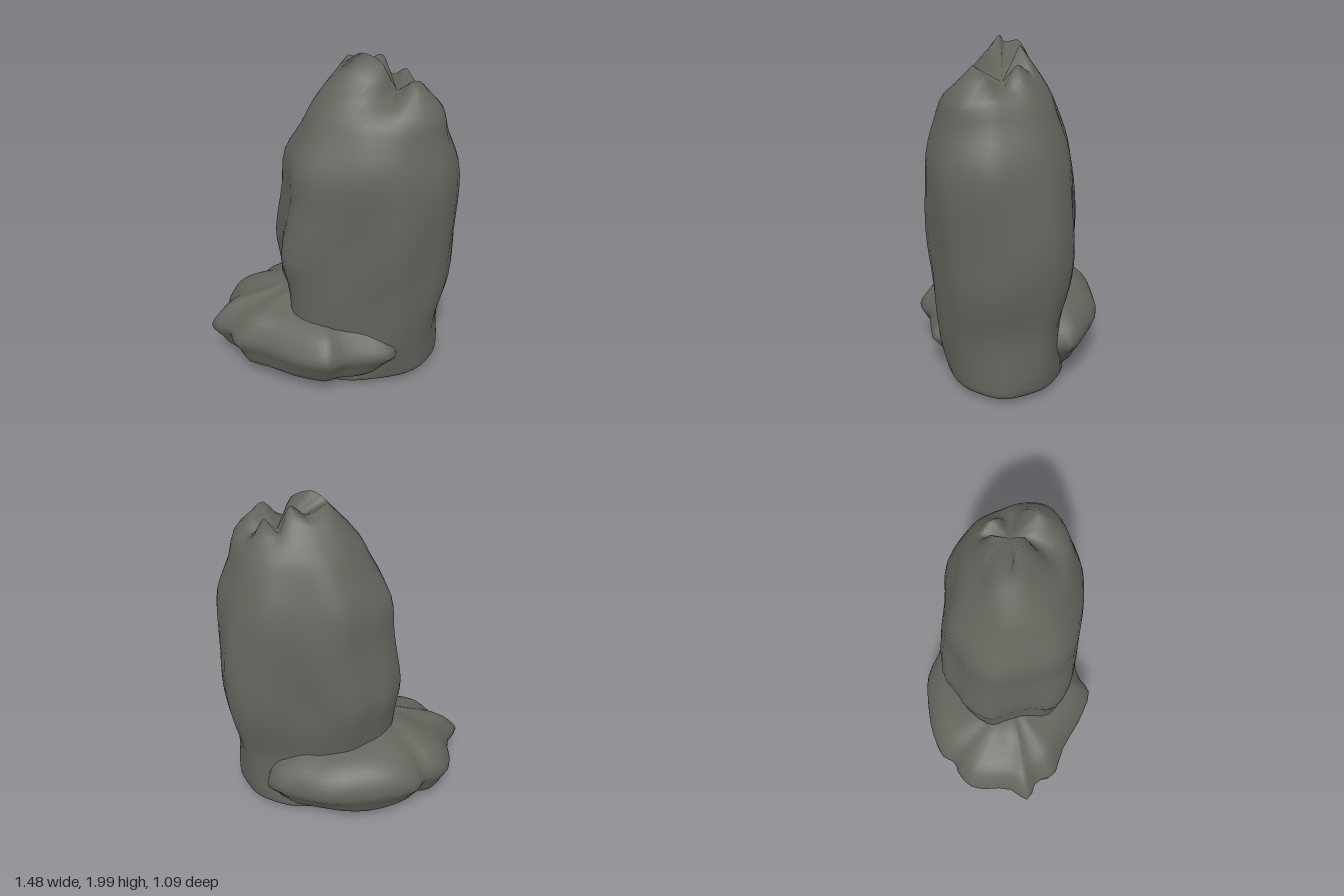
import * as THREE from 'three';

const stone = new THREE.MeshStandardMaterial({ color: 0x62655c });
stone.name = 'greyStone';

const V = (x, y, z) => new THREE.Vector3(x, y, z);
const { lerp, mapLinear } = THREE.MathUtils;

// Closed smooth ring through a few control points, sampled n times.
function ring(points, n) {
  const curve = new THREE.CatmullRomCurve3(points, true, 'centripetal');
  return Array.from({ length: n }, (_, i) => curve.getPoint(i / n));
}

// Smooth irregularities of the weathered surface.
function weather(p, amount) {
  const { x, y, z } = p;
  p.x += amount * Math.sin(13 * z + 4 * y + 1) * Math.cos(5 * y - 3 * z);
  p.z += amount * Math.sin(14 * x - 3 * y) * Math.cos(6 * y + 2 * x);
  p.y += amount * 0.5 * Math.sin(11 * x + 2) * Math.sin(12 * z + 1);
  return p;
}

// Skin a stack of rings, smoothed vertically, and close it with two poles.
function loft(rings, bottom, top, rows, amount) {
  const n = rings[0].length;
  const pos = [], index = [];
  const columns = rings[0].map((_, i) =>
    new THREE.CatmullRomCurve3(rings.map((r) => r[i]), false, 'centripetal'));
  for (let j = 0; j <= rows; j++) {
    for (const c of columns) pos.push(...weather(c.getPoint(j / rows), amount).toArray());
  }
  const b = n * (rows + 1), t = b + 1;
  pos.push(...bottom.toArray(), ...top.toArray());
  for (let i = 0; i < n; i++) {
    const k = (i + 1) % n;
    for (let j = 0; j < rows; j++) {
      const a = j * n + i, d = j * n + k;
      index.push(a, a + n, d, d, a + n, d + n);
    }
    index.push(b, i, k, t, rows * n + k, rows * n + i);
  }
  const g = new THREE.BufferGeometry();
  g.setAttribute('position', new THREE.Float32BufferAttribute(pos, 3));
  g.setIndex(index);
  g.computeVertexNormals();
  return g;
}

// Tall standing stone: one plan outline fitted to the extents of each level.
function pillarGeometry() {
  const n = 48;
  const outline = [
    [-0.31, -0.05], [-0.33, -0.14], [-0.25, -0.27], [-0.16, -0.33], [-0.04, -0.41],
    [0.12, -0.4], [0.26, -0.36], [0.44, -0.38], [0.6, -0.33], [0.69, -0.25],
    [0.74, -0.04], [0.73, 0.08], [0.67, 0.27], [0.55, 0.36], [0.38, 0.44],
    [0.22, 0.42], [0.05, 0.4], [-0.14, 0.37], [-0.27, 0.27], [-0.28, 0.12],
  ];
  // y, extents x min, x max, z min, z max, rounding to an ellipse, bulge of the front left corner
  const levels = [
    [0.015, -0.12, 0.5, -0.22, 0.22, 0.9, 0],
    [0.045, -0.27, 0.65, -0.34, 0.35, 0.9, 0],
    [0.09, -0.285, 0.67, -0.35, 0.365, 0.7, 0],
    [0.4, -0.28, 0.67, -0.345, 0.4, 0.2, 0],
    [0.65, -0.3, 0.72, -0.39, 0.42, 0.1, 0],
    [0.85, -0.33, 0.735, -0.405, 0.435, 0, 0],
    [1.18, -0.285, 0.735, -0.39, 0.44, 0.5, 0.1],
    [1.4, -0.27, 0.71, -0.36, 0.43, 0.6, 0.15],
    [1.58, -0.17, 0.64, -0.3, 0.37, 0.75, 0.2],
    [1.72, -0.09, 0.59, -0.235, 0.3, 0.85, 0.3],
  ];
  const rings = levels.map(([y, x0, x1, z0, z1, round, bulge]) => ring(outline.map(([x, z]) => {
    const u = mapLinear(x, -0.33, 0.74, -1, 1), v = mapLinear(z, -0.41, 0.44, -1, 1);
    const a = Math.atan2(v, u), c = Math.cos(a), s = Math.sin(a);
    const r = 1 + 2 * bulge * Math.max(c, 0) * Math.max(s, 0);
    return V(
      mapLinear(lerp(u, c * r, round), -1, 1, x0, x1), y,
      mapLinear(lerp(v, s * r, round), -1, 1, z0, z1));
  }), n));
  // Jagged crown around a sunken centre
  const crown = [
    [0.1, 1.95, 0.0], [0.11, 1.96, -0.07], [0.21, 1.92, -0.1], [0.3, 1.96, -0.06],
    [0.36, 1.83, -0.12], [0.44, 1.88, -0.06], [0.49, 1.76, 0.02], [0.5, 1.84, 0.1],
    [0.43, 1.88, 0.17], [0.34, 1.79, 0.13], [0.28, 1.95, 0.09], [0.17, 2.0, 0.03],
  ];
  rings.push(ring(crown.map((p) => V(...p)), n));
  return loft(rings, V(0.22, 0.005, 0), V(0.37, 1.78, 0.02), 30, 0.01);
}

// Low boulder wrapped around the foot of the pillar.
function boulderGeometry() {
  const outline = [
    [-0.74, 0.07], [-0.66, -0.05], [-0.65, -0.27], [-0.57, -0.34], [-0.48, -0.37],
    [-0.42, -0.45], [-0.3, -0.51], [-0.13, -0.54], [0.08, -0.55], [0.26, -0.49],
    [0.48, -0.38], [0.4, 0], [0.38, 0.39], [0.25, 0.455], [0.07, 0.48],
    [-0.03, 0.54], [-0.2, 0.48], [-0.4, 0.35], [-0.57, 0.28], [-0.62, 0.15],
  ];
  // y, scale about the middle of the boulder, extra fullness of the back
  const levels = [
    [0.1, 0.6, 0], [0.1, 0.81, 0], [0.19, 0.91, 0], [0.28, 1, 0], [0.36, 0.92, 1.4],
    [0.43, 0.79, 0.8], [0.48, 0.58, 0.6], [0.55, 0.3, 0],
  ];
  const rings = levels.map(([y, scale, full]) => ring(outline.map(([x, z]) => {
    const s = lerp(scale, 1, full * Math.max(-z, 0));
    const px = -0.12 + (x + 0.12) * s;
    return V(px, 0.1 + (y - 0.1) * (1 - 0.15 * Math.max(px, 0)), z * s);
  }), 48));
  return loft(rings, V(-0.12, 0.1, 0), V(-0.12, 0.54, 0), 18, 0.014);
}

export function createModel() {
  const group = new THREE.Group();
  group.name = 'standingRocks';
  const parts = { pillarRock: pillarGeometry(), baseBoulder: boulderGeometry() };
  for (const [name, geometry] of Object.entries(parts)) {
    const mesh = new THREE.Mesh(geometry, stone);
    mesh.name = name;
    group.add(mesh);
  }
  return group;
}
